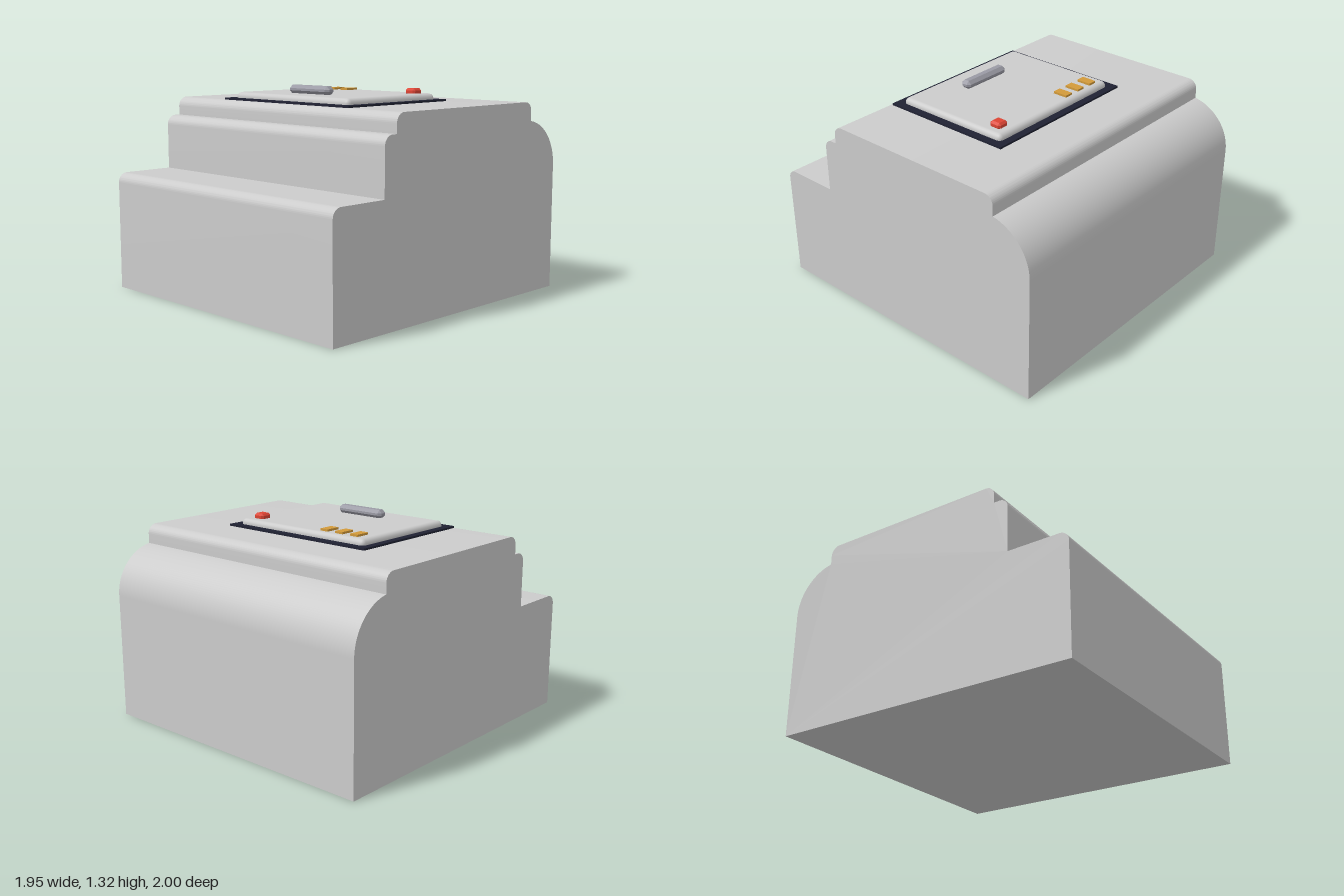
import * as THREE from 'three';
import { toCreasedNormals } from 'three/addons/utils/BufferGeometryUtils.js';
import { RoundedBoxGeometry } from 'three/addons/geometries/RoundedBoxGeometry.js';
import { ConvexGeometry } from 'three/addons/geometries/ConvexGeometry.js';

const WIDTH = 1.954;

const material = (color, flatShading = false) => new THREE.MeshStandardMaterial({ color, flatShading });

// Box with every edge and corner cut at 45 degrees
function chamferBox(w, h, d, c) {
  const points = [];
  for (const sx of [-1, 1]) for (const sy of [-1, 1]) for (const sz of [-1, 1]) {
    const x = w / 2, y = h / 2, z = d / 2;
    points.push(
      new THREE.Vector3(sx * x, sy * (y - c), sz * (z - c)),
      new THREE.Vector3(sx * (x - c), sy * y, sz * (z - c)),
      new THREE.Vector3(sx * (x - c), sy * (y - c), sz * z));
  }
  return new ConvexGeometry(points);
}

// Stepped side profile (z, y) swept across the full width
function bodyGeometry() {
  const r = 0.06;
  const s = new THREE.Shape();
  s.moveTo(-1, 0);
  s.lineTo(1, 0);
  s.lineTo(1, 0.75 - r);
  s.absarc(1 - r, 0.75 - r, r, 0, Math.PI / 2, false);
  s.lineTo(0.605, 0.75);
  s.lineTo(0.605, 1.1 - r);
  s.absarc(0.605 - r, 1.1 - r, r, 0, Math.PI / 2, false);
  s.lineTo(0.51, 1.1);
  s.lineTo(0.51, 1.217 - r);
  s.absarc(0.51 - r, 1.217 - r, r, 0, Math.PI / 2, false);
  s.lineTo(-0.742 + r, 1.217);
  s.absarc(-0.742 + r, 1.217 - r, r, Math.PI / 2, Math.PI, false);
  s.lineTo(-0.742, 1.097);
  // large rounded back shoulder
  s.absarc(-0.7, 0.8, 0.3, Math.PI / 2 + 0.14, Math.PI, false);
  s.lineTo(-1, 0);
  const g = new THREE.ExtrudeGeometry(s, { depth: WIDTH, bevelEnabled: false, curveSegments: 16 });
  g.translate(0, 0, -WIDTH / 2);
  g.rotateY(-Math.PI / 2);
  return toCreasedNormals(g, 0.5);
}

export function createModel() {
  const model = new THREE.Group();
  model.name = 'steppedConsole';

  const add = (parent, name, geometry, mat, x = 0, y = 0, z = 0) => {
    const mesh = new THREE.Mesh(geometry, mat);
    mesh.name = name;
    mesh.position.set(x, y, z);
    parent.add(mesh);
    return mesh;
  };

  add(model, 'body', bodyGeometry(), material(0xcccccc));

  // Hatch on the top deck
  const hatch = new THREE.Group();
  hatch.name = 'hatch';
  model.add(hatch);
  add(hatch, 'hatchFrame', new THREE.BoxGeometry(1.112, 0.02, 0.88), material(0x202233), 0, 1.219, 0.017);
  add(hatch, 'hatchPanel', new RoundedBoxGeometry(1.014, 0.065, 0.785, 2, 0.031), material(0xcccccc), 0, 1.2335, 0.017);
  add(hatch, 'handle', chamferBox(0.352, 0.054, 0.074, 0.02), material(0x9a9aa4, true), -0.003, 1.291, 0.215);

  // Controls
  add(hatch, 'redButton', chamferBox(0.078, 0.044, 0.08, 0.013), material(0xdd4433, true), 0.408, 1.276, -0.278);
  const amber = material(0xd29a3a);
  for (let i = 0; i < 3; i++) {
    add(hatch, 'amberLight' + (i + 1), new THREE.BoxGeometry(0.058, 0.02, 0.096), amber, -0.404 + i * 0.117, 1.269, -0.288);
  }

  return model;
}
